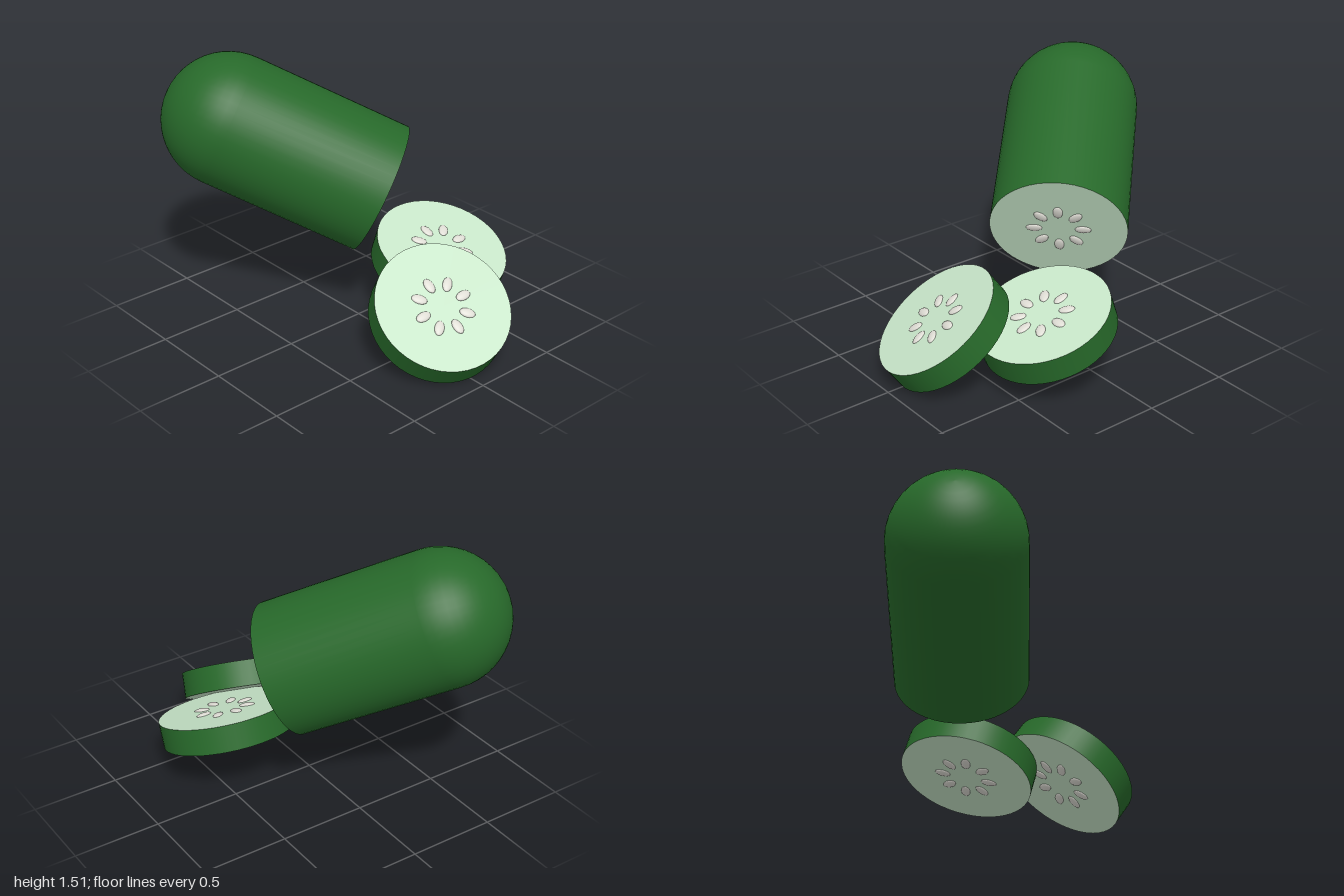
import * as THREE from 'three';

const R = 0.38;

const skin = new THREE.MeshStandardMaterial({ color: 0x27692a });
skin.name = 'darkGreenSkin';
const flesh = new THREE.MeshStandardMaterial({ color: 0xc8e6c9 });
flesh.name = 'paleGreenFlesh';
const seedColor = new THREE.MeshStandardMaterial({ color: 0xdedcd4 });
seedColor.name = 'creamSeed';

function part(geometry, material, name) {
  const mesh = new THREE.Mesh(geometry, material);
  mesh.name = name;
  return mesh;
}

// Ring of eight flattened seeds half sunk into a cut face at height y
function seedRing(y) {
  const ring = new THREE.Group();
  ring.name = 'seedRing';
  const geometry = new THREE.SphereGeometry(1, 16, 10).scale(0.045, 0.012, 0.027);
  for (let i = 0; i < 8; i++) {
    const a = (i * Math.PI) / 4;
    const seed = part(geometry, seedColor, 'seed');
    seed.position.set(0.135 * Math.cos(a), y, -0.135 * Math.sin(a));
    seed.rotation.y = a;
    ring.add(seed);
  }
  return ring;
}

// Place a group with local y along the normal and local x nearest to the hint
function place(group, position, normal, hint) {
  const y = new THREE.Vector3(...normal).normalize();
  const x = new THREE.Vector3(...hint);
  x.addScaledVector(y, -x.dot(y)).normalize();
  const z = new THREE.Vector3().crossVectors(x, y);
  group.quaternion.setFromRotationMatrix(new THREE.Matrix4().makeBasis(x, y, z));
  group.position.set(...position);
  return group;
}

// Round slice with seeds on both faces
function makeSlice(name) {
  const t = 0.15;
  const slice = new THREE.Group();
  slice.name = name;
  slice.add(part(new THREE.CylinderGeometry(R, R, t, 48), [skin, flesh, flesh], 'sliceDisc'));
  slice.add(seedRing(t / 2), seedRing(-t / 2));
  return slice;
}

// Long piece: domed end, straight side and one cut face at local y = 0
function makeBody() {
  const length = 0.927;
  const body = new THREE.Group();
  body.name = 'cutVegetable';
  const profile = [];
  for (let i = 0; i <= 12; i++) {
    const a = (i / 12) * Math.PI / 2;
    profile.push(new THREE.Vector2(R * Math.sin(a), -length - R * Math.cos(a)));
  }
  profile.push(new THREE.Vector2(R, 0));
  body.add(part(new THREE.LatheGeometry(profile, 48), skin, 'domedSkin'));
  body.add(part(new THREE.CircleGeometry(R, 48).rotateX(-Math.PI / 2), flesh, 'cutFace'));
  body.add(seedRing(0));
  return body;
}

export function createModel() {
  const model = new THREE.Group();
  model.name = 'slicedVegetable';
  model.add(
    place(makeBody(), [0.185, 0.737, -0.028], [0.642, -0.424, 0.638], [0.705, 0, -0.709]),
    place(makeSlice('frontSlice'), [0.02, 0.283, 0.64], [-0.2, 0.81, 0.55], [1, 0, 0]),
    place(makeSlice('backSlice'), [0.403, 0.333, 0.235], [0, 0.94, 0.34], [1, 0, 0])
  );
  return model;
}
